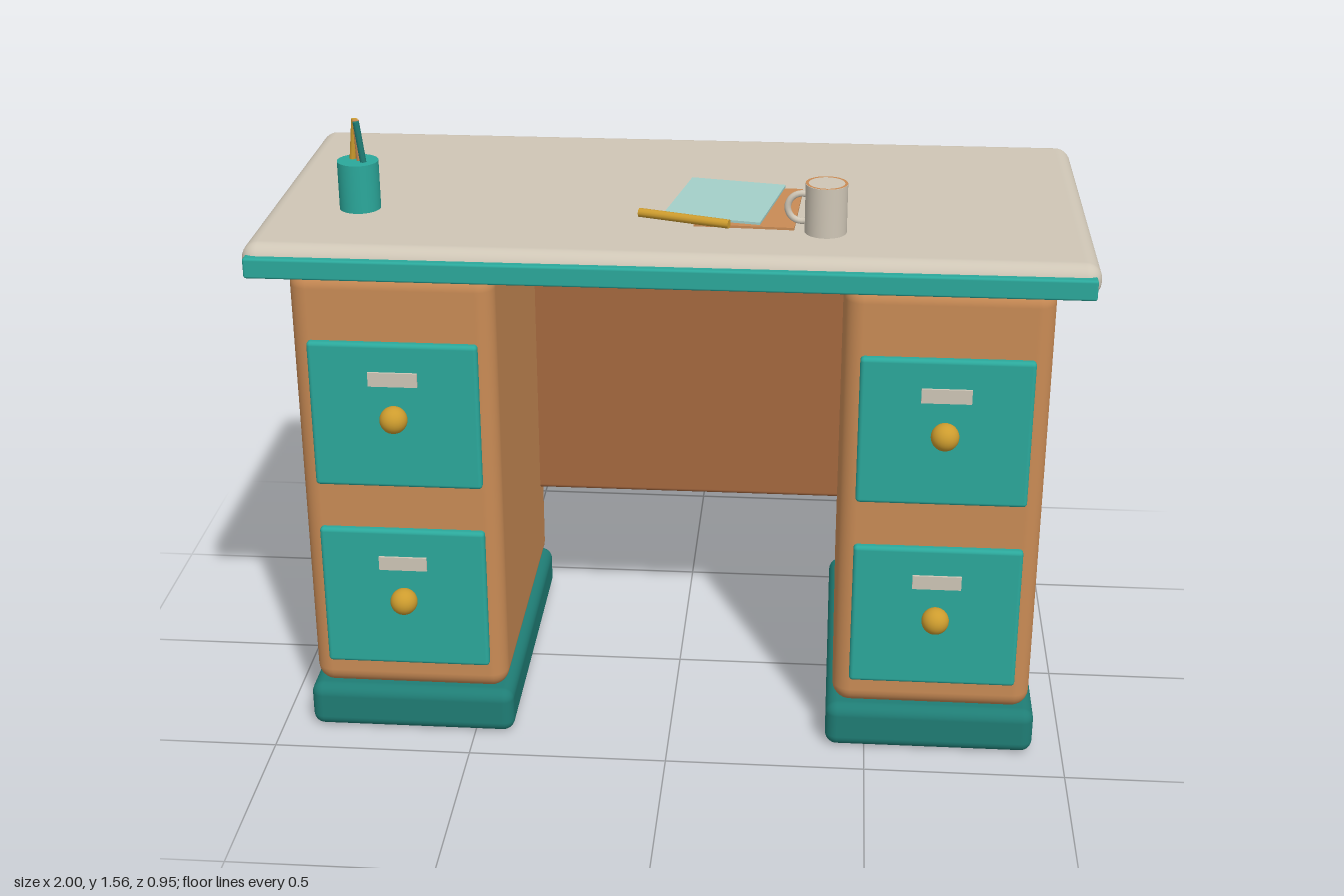
import * as THREE from 'three';
import { RoundedBoxGeometry } from 'three/addons/geometries/RoundedBoxGeometry.js';

const mat = (name, color) => new THREE.MeshStandardMaterial({ name, color });

export function createModel() {
  const wood = mat('wood', 0xc98b55);
  const darkWood = mat('dark wood', 0xa5683f);
  const teal = mat('teal', 0x2ba89b);
  const darkTeal = mat('dark teal', 0x1f7d75);
  const stone = mat('warm stone', 0xcfc6b6);
  const gold = mat('gold', 0xcd9c2e);
  const paleTeal = mat('pale teal', 0xa3cfc9);

  const desk = new THREE.Group();
  desk.name = 'desk';

  const add = (parent, name, geometry, material, x, y, z) => {
    const mesh = new THREE.Mesh(geometry, material);
    mesh.name = name;
    mesh.position.set(x, y, z);
    parent.add(mesh);
    return mesh;
  };
  const rounded = (w, h, d, r) => new RoundedBoxGeometry(w, h, d, 4, r);

  // Desktop with its front trim strip
  add(desk, 'desktop', rounded(2, 0.085, 0.935, 0.04), stone, 0, 1.2975, -0.0075);
  add(desk, 'frontTrim', rounded(1.975, 0.05, 0.036, 0.006), teal, 0, 1.29, 0.458);

  // Back panel between the pedestals
  add(desk, 'backPanel', rounded(0.9, 0.82, 0.04, 0.012), darkWood, 0, 0.77, -0.32);

  // Two pedestals, each with a plinth and two drawers
  for (const side of [-1, 1]) {
    const pedestal = new THREE.Group();
    pedestal.name = side > 0 ? 'leftPedestal' : 'rightPedestal';
    pedestal.position.x = side * 0.6625;
    desk.add(pedestal);
    add(pedestal, 'cabinet', rounded(0.495, 1.137, 0.79, 0.045), wood, 0, 0.6865, -0.005);
    add(pedestal, 'plinth', rounded(0.525, 0.12, 0.82, 0.03), darkTeal, 0, 0.06, -0.005);
    for (const y of [0.39, 0.89]) {
      const drawer = new THREE.Group();
      drawer.name = 'drawer';
      drawer.position.y = y;
      pedestal.add(drawer);
      add(drawer, 'drawerFront', rounded(0.413, 0.38, 0.04, 0.01), teal, 0, 0, 0.388);
      add(drawer, 'labelPlate', new THREE.BoxGeometry(0.12, 0.036, 0.008), stone, 0, 0.1, 0.41);
      add(drawer, 'knob', new THREE.SphereGeometry(0.034, 24, 16), gold, 0, 0, 0.423);
    }
  }

  // Pencil cup
  const cup = new THREE.Group();
  cup.name = 'pencilCup';
  cup.position.set(-0.77, 1.34, 0.165);
  desk.add(cup);
  add(cup, 'cupBody', new THREE.CylinderGeometry(0.05, 0.05, 0.12, 32), teal, 0, 0.06, 0);
  [[gold, -0.012, -0.013, -0.1], [wood, 0.004, 0.0, 0.04], [darkTeal, 0.013, 0.012, 0.12]]
    .forEach(([m, x, z, lean]) => {
      const pencil = add(cup, 'pencil', new THREE.CylinderGeometry(0.008, 0.008, 0.15, 8), m, x, 0.145, z);
      pencil.rotation.z = lean;
    });

  // Mug with a flat brown rim and a ring handle
  const mug = new THREE.Group();
  mug.name = 'mug';
  mug.position.set(0.365, 1.34, 0.258);
  desk.add(mug);
  add(mug, 'mugBody', new THREE.CylinderGeometry(0.05, 0.05, 0.12, 32), stone, 0, 0.06, 0);
  const rim = add(mug, 'mugRim', new THREE.RingGeometry(0.043, 0.05, 32), wood, 0, 0.121, 0);
  rim.rotation.x = -Math.PI / 2;
  add(mug, 'mugHandle', new THREE.TorusGeometry(0.034, 0.008, 10, 28), stone, -0.057, 0.06, 0);

  // Two loose sheets of paper
  const sheet = new THREE.BoxGeometry(0.24, 0.006, 0.292);
  add(desk, 'lowerSheet', sheet, wood, 0.178, 1.344, 0.106).rotation.y = -0.05;
  add(desk, 'upperSheet', sheet, paleTeal, 0.117, 1.351, 0.08).rotation.y = -0.18;

  // Pen lying on the desktop
  const pen = add(desk, 'pen', new THREE.CylinderGeometry(0.011, 0.011, 0.23, 12), gold, 0.027, 1.358, 0.238);
  pen.rotation.set(0, -0.305, Math.PI / 2);

  return desk;
}
